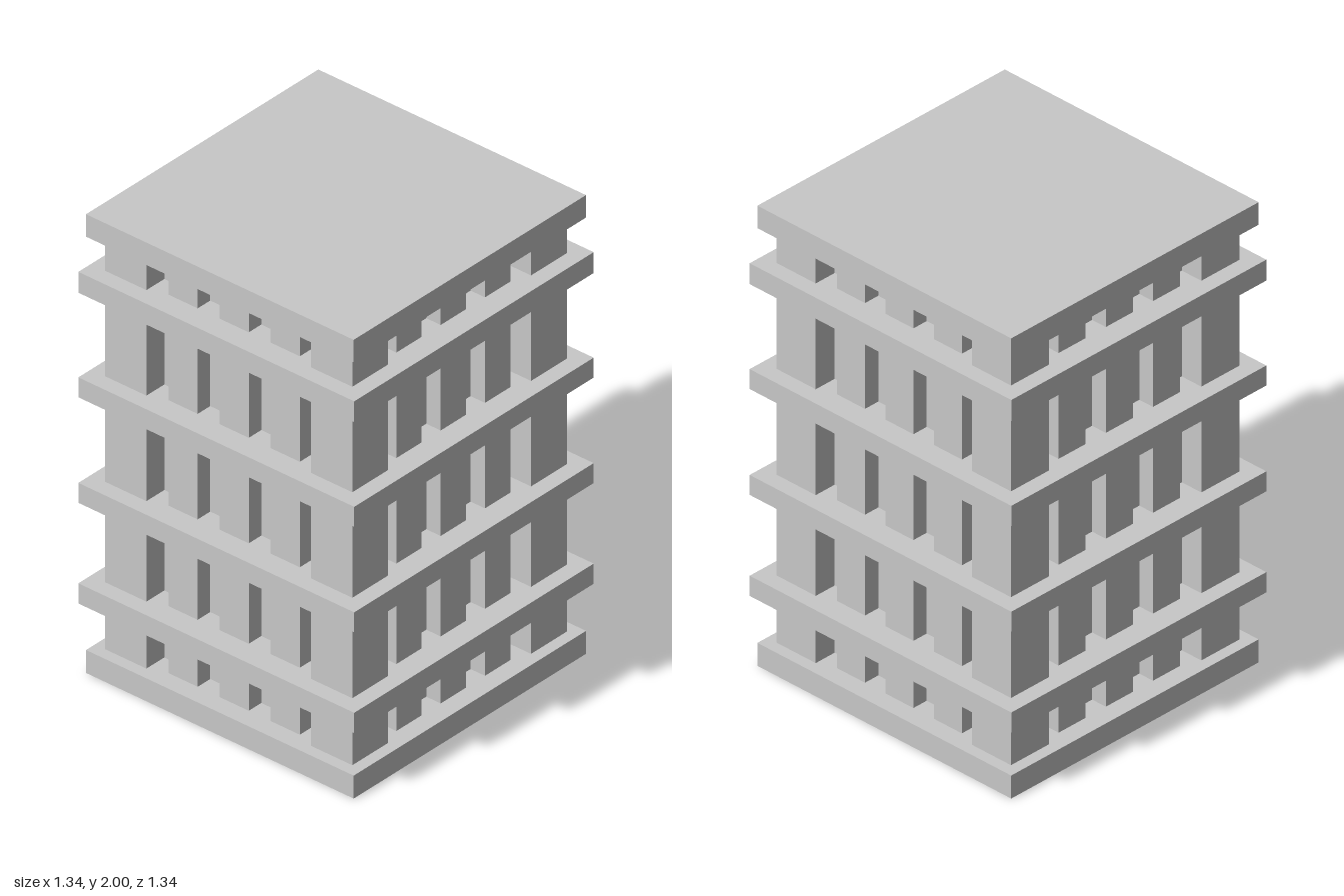
import * as THREE from 'three';

export function createModel() {
  const model = new THREE.Group();
  model.name = 'tower';
  const concrete = new THREE.MeshStandardMaterial({ color: 0xc8c8c8 });
  concrete.name = 'concrete grey';

  // Box given by its ranges along each axis
  function box(name, [x0, x1], [y0, y1], [z0, z1], parent = model) {
    const mesh = new THREE.Mesh(new THREE.BoxGeometry(x1 - x0, y1 - y0, z1 - z0), concrete);
    mesh.position.set((x0 + x1) / 2, (y0 + y1) / 2, (z0 + z1) / 2);
    mesh.name = name;
    parent.add(mesh);
  }
  function slab(name, half, y) {
    box(name, [-half, half], y, [-half, half]);
  }

  const bottom = 0.1, top = 1.902, core = 0.5;
  const height = [bottom, top];

  // Base, roof and projecting floor bands
  slab('base', 0.65, [0, bottom]);
  slab('roof', 0.65, [top, 2]);
  for (const y of [[0.304, 0.392], [0.743, 0.83], [1.203, 1.29], [1.659, 1.75]]) {
    slab('floorBand', 0.67, y);
  }

  // Recessed inner walls
  slab('core', core, height);

  // One corner pier and three slimmer, slightly recessed piers per side
  for (let i = 0; i < 4; i++) {
    const side = new THREE.Group();
    side.name = 'facade';
    side.rotation.y = i * Math.PI / 2;
    box('cornerPier', [0.4, 0.6], height, [0.4, 0.6], side);
    for (const x of [-0.248, 0, 0.248]) {
      box('middlePier', [x - 0.071, x + 0.071], height, [core - 0.02, 0.57], side);
    }
    model.add(side);
  }
  return model;
}
